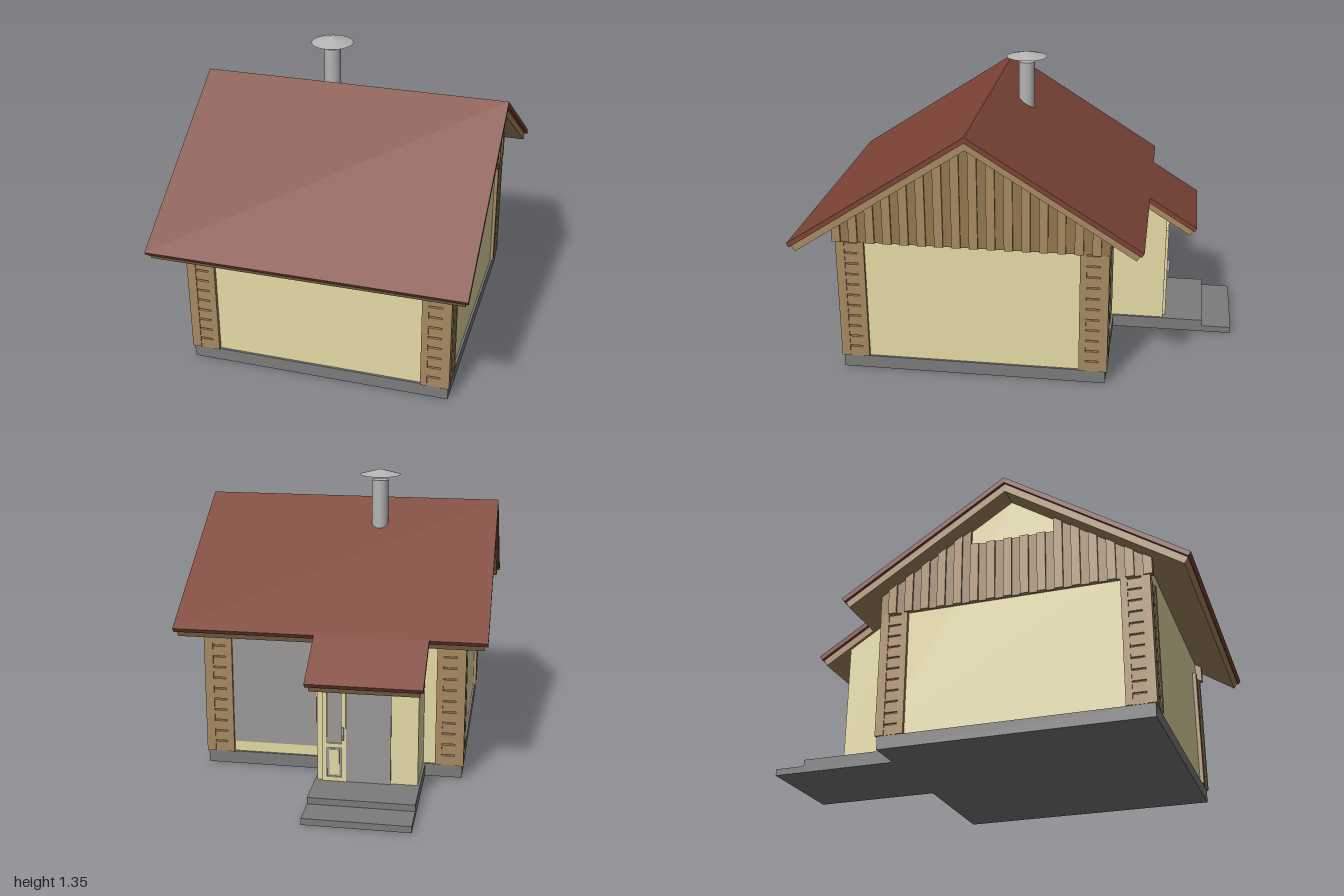
import * as THREE from 'three';

const mat = (color) => new THREE.MeshStandardMaterial({ color, flatShading: true });
const RIDGE_Z = 0.19;
const FRONT = 0.654, BACK = 0.63; // roof slopes

// Height of the roof at depth z, measured down from its top surface
const roofY = (z, down = 0) =>
  1.19 - down - (z > RIDGE_Z ? (z - RIDGE_Z) * FRONT : (RIDGE_Z - z) * BACK);

export function createModel() {
  const house = new THREE.Group();
  house.name = 'house';
  const cream = mat(0xe6dba6), wood = mat(0xa88a62), darkWood = mat(0x94784f);
  const red = mat(0x7d4437), stone = mat(0x7c7c7c), glass = mat(0x9c9a98);
  const metal = new THREE.MeshStandardMaterial({ color: 0xb4b4b4 });

  const add = (name, geo, material, parent = house) => {
    const m = new THREE.Mesh(geo, material);
    m.name = name;
    parent.add(m);
    return m;
  };
  // Box given by its limits
  const box = (name, x0, x1, y0, y1, z0, z1, material, parent) => {
    const g = new THREE.BoxGeometry(x1 - x0, y1 - y0, z1 - z0);
    g.translate((x0 + x1) / 2, (y0 + y1) / 2, (z0 + z1) / 2);
    return add(name, g, material, parent);
  };
  // Side profile of [z, y] points, extruded from x0 to x1
  const prism = (name, pts, x0, x1, material, parent) => {
    const s = new THREE.Shape(pts.map(([z, y]) => new THREE.Vector2(z, y)));
    const g = new THREE.ExtrudeGeometry(s, { depth: x1 - x0, bevelEnabled: false });
    g.rotateY(-Math.PI / 2).translate(x1, 0, 0);
    return add(name, g, material, parent);
  };

  // Plinth and entrance steps
  box('plinth', -0.6, 0.6, 0, 0.06, -0.42, 0.8, stone);
  box('upperStep', -0.43, 0.04, 0, 0.06, -0.86, -0.42, stone);
  box('lowerStep', -0.43, 0.04, 0, 0.03, -1, -0.86, stone);

  // Main walls with gables, and the entrance porch under the long rear slope
  const U = 0.062; // depth of the roof build-up
  prism('mainWalls', [[-0.41, 0.06], [0.79, 0.06], [0.79, roofY(0.79, U)],
    [RIDGE_Z, roofY(RIDGE_Z, U)], [-0.41, roofY(-0.41, U)]], -0.59, 0.59, cream);
  prism('porchWalls', [[-0.665, 0.06], [-0.41, 0.06], [-0.41, roofY(-0.41, U)],
    [-0.665, roofY(-0.665, U)]], -0.42, 0.03, cream);

  // Roof layers: a folded main sheet plus a strip carried on over the porch
  const roofLayer = (name, top, thick, halfX, inset, material) => {
    const zf = 1 - inset, zb = -0.58 + inset, zp = -0.81 + inset;
    const b = top + thick, k = thick * 0.45; // k squares off the eaves
    prism(name, [[zf, roofY(zf, top)], [RIDGE_Z, roofY(RIDGE_Z, top)], [zb, roofY(zb, top)],
      [zb + k, roofY(zb + k, b)], [RIDGE_Z, roofY(RIDGE_Z, b)], [zf - k, roofY(zf - k, b)]],
      -halfX, halfX, material);
    prism(name + 'Porch', [[zb + k, roofY(zb + k, top)], [zp, roofY(zp, top)],
      [zp + k, roofY(zp + k, b)], [zb + k, roofY(zb + k, b)]],
      -0.45 + inset, 0.06 - inset, material);
  };
  roofLayer('roofCovering', 0, 0.026, 0.705, 0, red);
  roofLayer('roofBoarding', 0.026, 0.038, 0.69, 0.015, wood);

  // Vertical gable boards; one gable keeps a plain panel under the ridge
  for (const side of [-1, 1]) {
    const gable = new THREE.Group();
    gable.name = side > 0 ? 'leftGable' : 'rightGable';
    house.add(gable);
    const n = 32, w = 1.25 / n;
    for (let i = 0; i < n; i++) {
      const z0 = -0.43 + i * w, z1 = z0 + w, out = i % 2 ? 0.614 : 0.604;
      const cap = side < 0 && z0 > -0.03 && z1 < 0.41 ? 0.93 : 9;
      const x = [side * 0.585, side * out].sort((a, b) => a - b);
      prism('gableBoard', [[z0, 0.64], [z1, 0.64], [z1, Math.min(cap, roofY(z1, 0.06))],
        [z0, Math.min(cap, roofY(z0, 0.06))]], x[0], x[1], i % 2 ? wood : darkWood, gable);
    }
  }

  // Corner posts: on each face two upright boards with short blocks between
  const postFace = (parent) => {
    box('outerBoard', 0, 0.04, 0.06, 0.64, -0.02, 0.008, wood, parent);
    box('innerBoard', 0.1, 0.13, 0.06, 0.64, -0.02, 0.008, wood, parent);
    for (let i = 0; i < 11; i++) {
      const y = 0.06 + i * 0.0527;
      box('block', 0.04, 0.1, y, y + 0.045, -0.02, 0.004, wood, parent);
    }
  };
  for (const sx of [-1, 1]) for (const end of [0.8, -0.42]) {
    const sz = Math.sign(end);
    const post = new THREE.Group();
    post.name = 'cornerPost';
    house.add(post);
    // face on the long wall
    const a = new THREE.Group();
    a.name = 'postLongFace';
    a.position.set(sx > 0 ? 0.605 : -0.605, 0, end);
    a.rotation.y = sz > 0 ? 0 : Math.PI;
    if (sx * sz > 0) a.scale.x = -1;
    postFace(a);
    // face on the gable wall
    const b = new THREE.Group();
    b.name = 'postGableFace';
    b.position.set(sx * 0.598, 0, end + sz * 0.008);
    b.rotation.y = sx * Math.PI / 2;
    if (sx * sz < 0) b.scale.x = -1;
    postFace(b);
    post.add(a, b);
  }

  // Rear beams either side of the porch
  box('rearBeam', 0.03, 0.6, 0.625, 0.735, -0.432, -0.405, wood);
  box('rearBeam', -0.6, -0.42, 0.625, 0.735, -0.432, -0.405, wood);

  // Rear window and porch window
  box('rearWindow', 0.08, 0.475, 0.11, 0.625, -0.415, -0.4, glass);
  box('porchWindow', -0.3, -0.1, 0.06, 0.52, -0.674, -0.66, glass);

  // Entrance door: frame, rails, upper and lower panes, handle
  const door = new THREE.Group();
  door.name = 'door';
  house.add(door);
  box('doorPane', -0.09, 0, 0.07, 0.51, -0.669, -0.66, glass, door);
  for (const x of [-0.1, -0.015])
    box('doorStile', x, x + 0.02, 0.06, 0.52, -0.677, -0.66, cream, door);
  for (const y of [0.06, 0.22, 0.5])
    box('doorRail', -0.1, 0.005, y, y + 0.02, -0.676, -0.66, cream, door);
  box('lowerPanel', -0.07, -0.025, 0.09, 0.21, -0.673, -0.66, cream, door);
  box('handle', -0.092, -0.084, 0.26, 0.32, -0.688, -0.676, metal, door);

  // Flue pipe with a separate conical cap
  add('flue', new THREE.CylinderGeometry(0.039, 0.039, 0.35, 32), metal).position.set(-0.15, 1.125, 0.04);
  add('flueCap', new THREE.ConeGeometry(0.097, 0.026, 32), metal).position.set(-0.15, 1.337, 0.04);

  return house;
}
